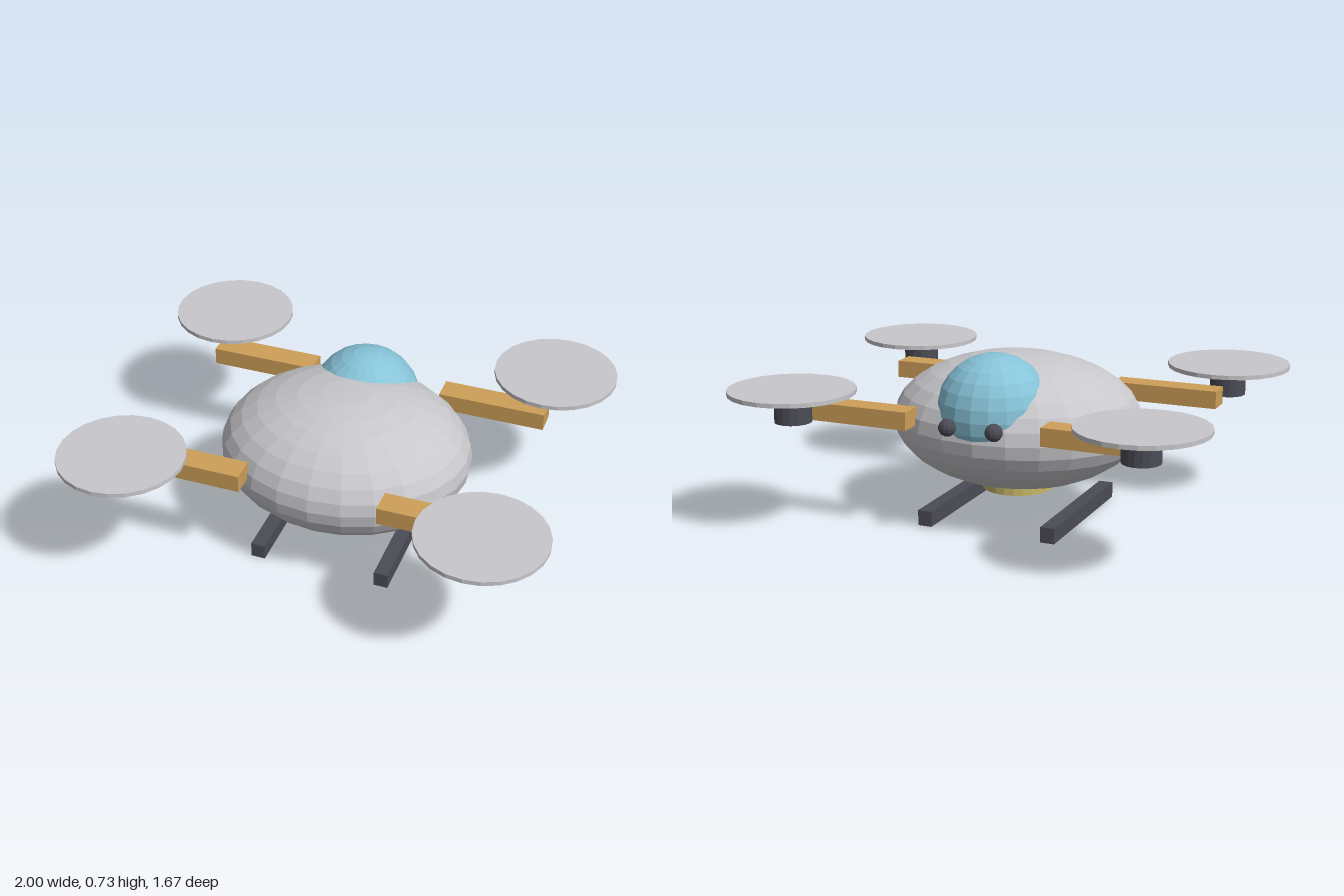
import * as THREE from 'three';

const paint = (name, color) => {
  const m = new THREE.MeshStandardMaterial({ color, flatShading: true });
  m.name = name;
  return m;
};

export function createModel() {
  const model = new THREE.Group();
  model.name = 'drone';
  const grey = paint('light grey', 0xc8c8cc);
  const blue = paint('canopy blue', 0x87c3d8);
  const orange = paint('arm orange', 0xcf9f58);
  const dark = paint('dark grey', 0x4c4c56);
  const gold = paint('pale gold', 0xc8b868);

  const add = (name, geometry, material, x, y, z) => {
    const mesh = new THREE.Mesh(geometry, material);
    mesh.name = name;
    mesh.position.set(x, y, z);
    model.add(mesh);
    return mesh;
  };

  // Egg-shaped hull, rear dome and belly plate
  const hull = new THREE.SphereGeometry(1, 24, 16).scale(0.53, 0.28, 0.463);
  add('body', hull, grey, 0, 0.41, 0);
  add('canopy', new THREE.SphereGeometry(0.235, 20, 14), blue, 0, 0.497, -0.24);
  add('bellyPlate', new THREE.CylinderGeometry(0.15, 0.15, 0.032, 24), gold, 0, 0.128, 0);

  // Shared shapes for the repeated parts
  const arm = new THREE.BoxGeometry(0.458, 0.075, 0.105);
  const motor = new THREE.CylinderGeometry(0.077, 0.077, 0.1, 16);
  const rotor = new THREE.CylinderGeometry(0.26, 0.26, 0.018, 24);
  const skid = new THREE.BoxGeometry(0.06, 0.065, 0.68);
  const sensor = new THREE.SphereGeometry(0.036, 12, 8);

  for (const sx of [-1, 1]) {
    add('skid', skid, dark, sx * 0.272, 0.0325, 0);
    add('rearSensor', sensor, dark, sx * 0.1, 0.472, -0.472);
    // Arm, motor and rotor at each corner
    for (const sz of [-1, 1]) {
      add('arm', arm, orange, sx * 0.519, 0.473, sz * 0.411);
      add('motor', motor, dark, sx * 0.738, 0.505, sz * 0.574);
      add('rotor', rotor, grey, sx * 0.74, 0.583, sz * 0.574);
    }
  }
  return model;
}
